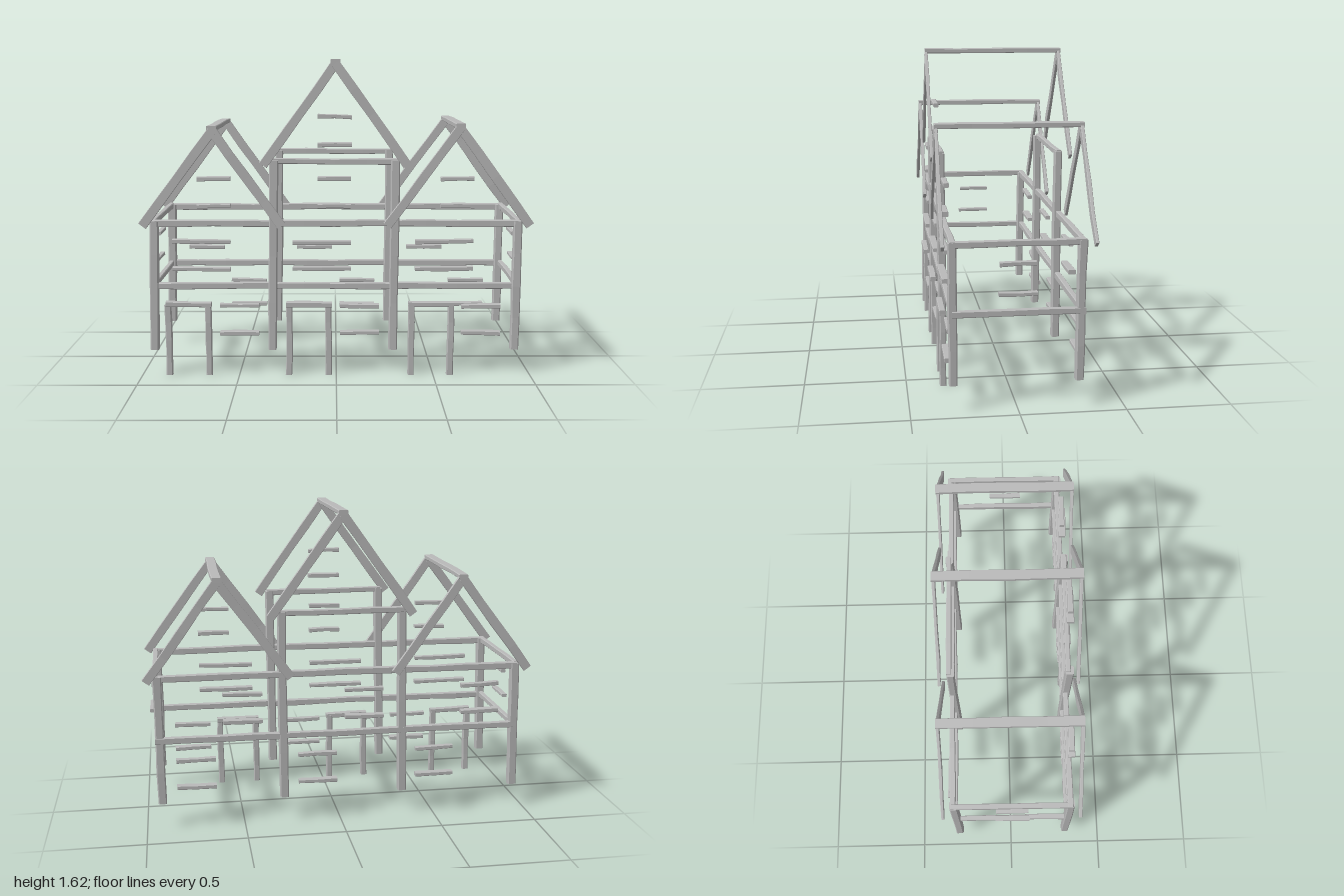
import * as THREE from 'three';

export function createModel() {
  const model = new THREE.Group();
  model.name = 'timberFrame';
  const timber = new THREE.MeshStandardMaterial({ color: 0xbababa, flatShading: true });
  timber.name = 'greyTimber';

  let seed = 7;
  const jitter = (s) => {
    seed = (seed * 16807) % 2147483647;
    return (seed / 2147483647 - 0.5) * 2 * s;
  };
  const Z = new THREE.Vector3(0, 0, 1), Y = new THREE.Vector3(0, 1, 0);

  // A hand-hewn beam from a to b: chamfered rectangle, slightly crooked along its length
  function beam(name, a, b, width, depth, depthAxis = Z, parent = model) {
    const A = new THREE.Vector3(...a), B = new THREE.Vector3(...b);
    const dir = B.clone().sub(A), len = dir.length();
    dir.normalize();
    const rings = len > 0.35 ? 4 : 2;
    const geo = new THREE.CylinderGeometry(1, 1, len, 8, rings, false, Math.PI / 8);
    const c = Math.min(width, depth) * 0.14;
    const shift = Array.from({ length: rings + 1 }, () => [jitter(0.002), jitter(0.002), jitter(0.0012)]);
    const p = geo.attributes.position;
    const side = (v, half) => (Math.abs(v) < 1e-6 ? 0 : Math.sign(v) * (Math.abs(v) > 0.6 ? half : half - c));
    for (let i = 0; i < p.count; i++) {
      const [sx, sz, grow] = shift[Math.round((p.getY(i) / len + 0.5) * rings)];
      p.setX(i, side(p.getX(i), width / 2 + grow) + sx);
      p.setZ(i, side(p.getZ(i), depth / 2 + grow) + sz);
    }
    geo.computeVertexNormals();
    const mesh = new THREE.Mesh(geo, timber);
    mesh.name = name;
    const x = new THREE.Vector3().crossVectors(dir, depthAxis).normalize();
    mesh.quaternion.setFromRotationMatrix(new THREE.Matrix4().makeBasis(x, dir, depthAxis));
    mesh.position.copy(A).add(B).multiplyScalar(0.5);
    parent.add(mesh);
  }

  // Posts: the two middle pairs rise to the third floor
  const posts = [[-0.936, -0.927, 0.8], [-0.331, -0.316, 1.11], [0.292, 0.3, 1.11], [0.92, 0.925, 0.8]];
  for (const [z0, z1] of [[0.3, 0.305], [-0.286, -0.297]])
    for (const [x0, x1, top] of posts)
      beam('post', [x0, 0.13, z0], [x1, top, z1], 0.044, 0.04);

  // Long floor beams, one per bay, and the upper tie beam
  const joints = [-0.945, -0.32, 0.295, 0.935];
  for (const z of [0.3, -0.298]) {
    for (const y of [0.466, 0.79])
      for (let i = 0; i < 3; i++)
        beam('floorBeam', [joints[i], y, z], [joints[i + 1] + 0.01, y, z], 0.033, 0.027);
    beam('upperTieBeam', [-0.325, 1.106, z], [0.312, 1.103, z], 0.03, 0.027);
  }

  // Cross beams, window heads and projecting sills at both ends
  for (const s of [1, -1]) {
    for (const y of [0.469, 0.793])
      beam('endBeam', [s * 0.933, y, 0.305], [s * 0.933, y, -0.305], 0.026, 0.03, Y);
    beam('endWindowHead', [s * 0.942, 0.7, 0.088], [s * 0.942, 0.7, -0.08], 0.024, 0.02, Y);
    beam('endWindowSill', [s * 0.953, 0.562, 0.095], [s * 0.953, 0.562, -0.083], 0.03, 0.02, Y);
  }

  // Gable roofs: a ridge and two pairs of rafters
  const gables = [
    { x: -0.62, top: 1.263, left: -0.978, right: -0.279, foot: 0.783 },
    { x: -0.004, top: 1.594, left: -0.366, right: 0.357, foot: 1.09 },
    { x: 0.62, top: 1.277, left: 0.258, right: 0.978, foot: 0.784 },
  ];
  for (const g of gables) {
    const roof = new THREE.Group();
    roof.name = 'gableRoof';
    model.add(roof);
    beam('ridge', [g.x, g.top + 0.01, 0.356], [g.x, g.top + 0.01, -0.356], 0.049, 0.025, Y, roof);
    for (const z of [0.348, -0.346])
      for (const foot of [g.left, g.right])
        beam('rafter', [foot, g.foot, z], [g.x, g.top, z], 0.046, 0.016, Z, roof);
  }

  // Door frames along the front
  for (const x of [-0.86, -0.243, 0.383]) {
    const door = new THREE.Group();
    door.name = 'doorFrame';
    model.add(door);
    for (const dx of [0, 0.205])
      beam('doorJamb', [x + dx, 0, 0.321], [x + dx + jitter(0.004), 0.37, 0.321], 0.032, 0.03, Z, door);
    beam('doorLintel', [x - 0.013, 0.373, 0.322], [x + 0.22, 0.371, 0.322], 0.027, 0.032, Z, door);
  }

  // Window: a shallow head above a deeper sill, on the front (1) or back (-1) wall
  function windowRails(name, x, length, head, sill, wall) {
    for (const [part, y, z, depth] of [['Head', head, 0.307, 0.026], ['Sill', sill, 0.314, 0.036]])
      beam(name + part, [x, y + jitter(0.003), wall * z], [x + length, y + jitter(0.003), wall * z], 0.021, depth);
  }
  for (const wall of [1, -1]) {
    for (const x of [-0.597, 0.02, 0.643]) windowRails('groundWindow', x, 0.2, 0.36, 0.22, wall);
    for (const x of [-0.835, -0.222, 0.402])
      windowRails('floorWindow', x, wall > 0 ? 0.296 : 0.2, 0.695, 0.557, wall);
  }
  for (const x of [-0.705, -0.095, 0.528]) windowRails('gableWindow', x, 0.17, 1.017, 0.88, 1);
  windowRails('topGableWindow', -0.093, 0.172, 1.332, 1.193, 1);

  return model;
}
